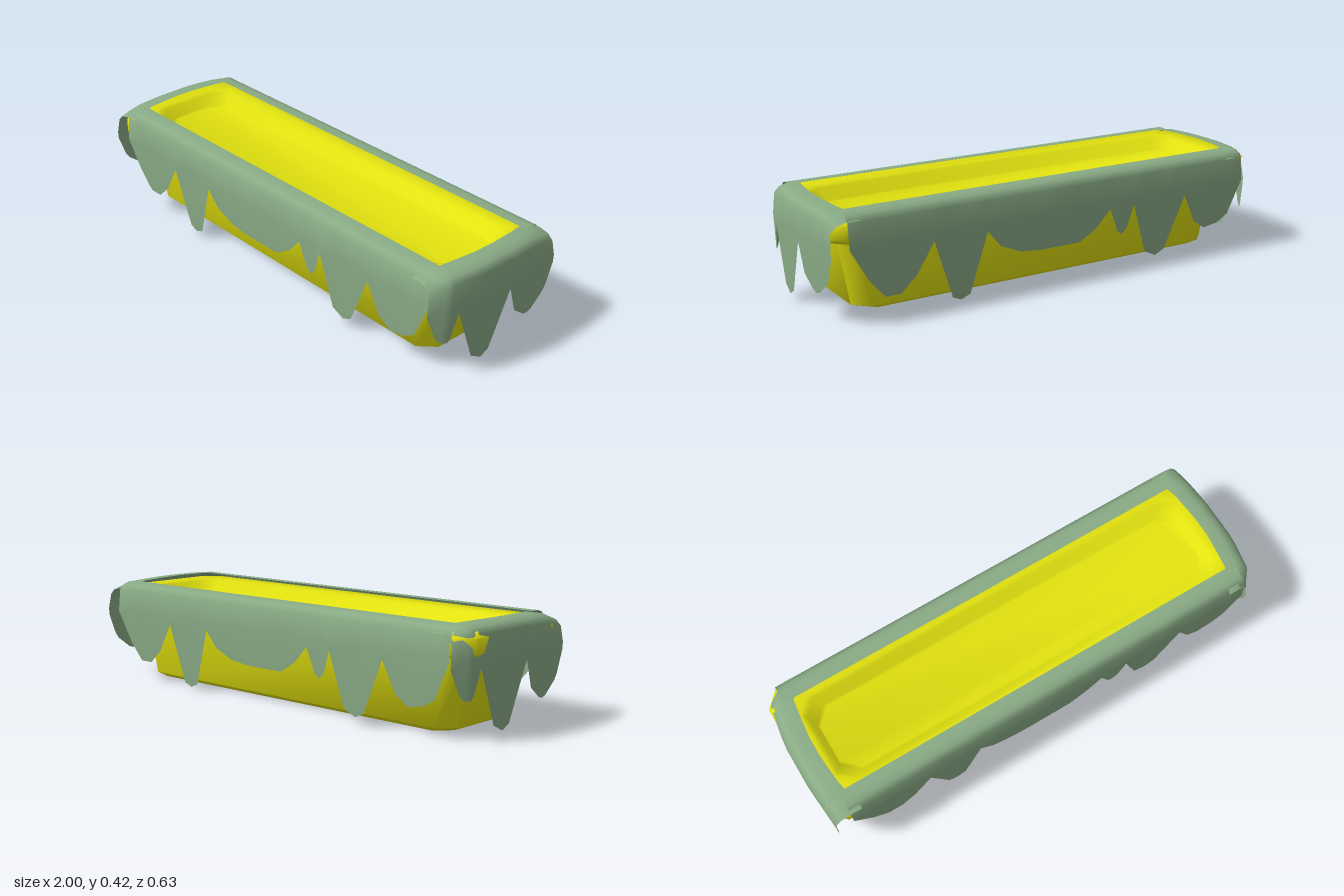
import * as THREE from 'three';
import { toCreasedNormals } from 'three/addons/utils/BufferGeometryUtils.js';

const yellow = new THREE.MeshStandardMaterial({ color: 0xe2e210 });
yellow.name = 'yellow tray';
const green = new THREE.MeshStandardMaterial({ color: 0x8aab86, side: THREE.DoubleSide });
green.name = 'green drape';

function build(pos, idx) {
  const g = new THREE.BufferGeometry();
  g.setAttribute('position', new THREE.Float32BufferAttribute(pos, 3));
  g.setIndex(idx);
  g.computeVertexNormals();
  return g;
}

// Chamfered rectangle ring, running from +x towards +z
function ring([hx, hz, c, y, cx = 0]) {
  const q = [[hx, hz - c], [hx - c, hz]];
  const pts = [...q, ...q.map(([x, z]) => [-x, z]).reverse()];
  return [...pts, ...pts.map(([x, z]) => [-x, -z])].map(([x, z]) => [x + cx, y, z]);
}

// Closed shell through the rings, capped at both ends
function loft(sections) {
  const pos = [], idx = [], n = 8;
  sections.forEach((s) => ring(s).forEach((p) => pos.push(...p)));
  const last = (sections.length - 1) * n;
  for (let j = 0; j < n; j++) {
    const k = (j + 1) % n;
    for (let i = 0; i < last; i += n) {
      idx.push(i + j, i + n + j, i + k, i + k, i + n + j, i + n + k);
    }
    if (j > 0 && j < n - 1) idx.push(0, j, k, last, last + k, last + j);
  }
  return toCreasedNormals(build(pos, idx), 1.0);
}

// Open sheet from equal-length columns of points
function sheet(columns) {
  const pos = columns.flat(2), idx = [], m = columns[0].length;
  for (let i = 0; i < columns.length - 1; i++) {
    for (let j = 0; j < m - 1; j++) {
      const a = i * m + j, b = a + m;
      idx.push(a, a + 1, b, b, a + 1, b + 1);
    }
  }
  return build(pos, idx);
}

// Linear lookup in a short [key, value] table with rising keys
function lookup(table, t) {
  for (let i = 1; i < table.length; i++) {
    const [a, va] = table[i - 1], [b, vb] = table[i];
    if (t <= b || i === table.length - 1) {
      return THREE.MathUtils.lerp(va, vb, THREE.MathUtils.clamp((t - a) / (b - a), 0, 1));
    }
  }
}

// Drip outline along the long sides: [x, y]
const longHem = [
  [-0.91, 0.29], [-0.835, 0.16], [-0.77, 0.085], [-0.705, 0.085], [-0.64, 0.145], [-0.567, 0.267],
  [-0.487, 0.027], [-0.45, 0.011], [-0.41, 0.027], [-0.337, 0.267], [-0.278, 0.198], [-0.187, 0.16],
  [-0.096, 0.15], [0.09, 0.15], [0.17, 0.198], [0.235, 0.267], [0.273, 0.17], [0.294, 0.15],
  [0.32, 0.17], [0.353, 0.267], [0.42, 0.053], [0.476, 0.027], [0.52, 0.048], [0.615, 0.267],
  [0.674, 0.145], [0.73, 0.107], [0.8, 0.118], [0.855, 0.15], [0.92, 0.29],
];
// Drip outline along the short ends: [z, y]
const endHem = [
  [-0.312, 0.268], [-0.28, 0.18], [-0.264, 0.157], [-0.2, 0.109], [-0.175, 0.102], [-0.15, 0.109],
  [-0.088, 0.155], [-0.05, 0.268], [0.041, 0.043], [0.08, 0.023], [0.13, 0.048], [0.207, 0.268],
  [0.237, 0.17], [0.25, 0.154], [0.268, 0.154], [0.284, 0.17], [0.314, 0.268],
];
// Plan outline and height of the end drape against z
const endOuter = [[-0.31, 0.983], [-0.1, 1], [0.1, 1], [0.25, 0.977], [0.314, 0.93]];
const endInner = [[-0.31, 0.86], [-0.18, 0.89], [0, 0.905], [0.2, 0.885], [0.314, 0.84]];
const endTop = [[-0.312, 0.392], [-0.27, 0.405], [-0.2, 0.416], [0, 0.421], [0.2, 0.421], [0.25, 0.416], [0.314, 0.39]];

function longDrape() {
  return sheet(longHem.map(([x, y]) => [
    [x, 0.418, 0.212], [x, 0.418, 0.25], [x, 0.41, 0.277], [x, 0.387, 0.3],
    [x, 0.3, 0.309], [x, y, 0.309 - (0.3 - y) * 0.045],
  ]));
}

function endDrape() {
  return sheet(endHem.map(([z, y]) => {
    const o = lookup(endOuter, z), i = lookup(endInner, z), t = lookup(endTop, z);
    const zt = z * 0.97;
    return [
      [i, t, zt], [i + (o - i) * 0.45, t, zt], [o - 0.028, t - 0.01, zt], [o - 0.006, t - 0.032, zt],
      [o, 0.3, z], [o - (0.3 - y) * 0.04, y, z],
    ];
  }).reverse());
}

export function createModel() {
  const model = new THREE.Group();
  model.name = 'drapedTray';
  const add = (name, geometry, material, turn = 0) => {
    const mesh = new THREE.Mesh(geometry, material);
    mesh.name = name;
    mesh.rotation.y = turn;
    model.add(mesh);
    return mesh;
  };

  // Tray: tapered body, overhanging lip, shallow recessed floor
  add('tray', loft([
    [0.805, 0.18, 0.06, 0], [0.84, 0.205, 0.06, 0.018], [0.895, 0.217, 0.06, 0.3],
    [0.97, 0.29, 0.06, 0.305, -0.007], [0.977, 0.297, 0.06, 0.32, -0.007],
    [0.977, 0.297, 0.06, 0.375, -0.007], [0.96, 0.28, 0.06, 0.397, -0.007],
    [0.89, 0.205, 0.06, 0.397], [0.87, 0.185, 0.06, 0.39], [0.85, 0.155, 0.063, 0.345], [0.842, 0.145, 0.065, 0.34],
  ]), yellow);

  // Drapes: each side is the other turned half round
  const long = longDrape(), end = endDrape();
  [['front', 'left', 0], ['back', 'right', Math.PI]].forEach(([side, tip, turn]) => {
    add(side + 'Drape', long, green, turn).position.z = -0.004;
    add(tip + 'EndDrape', end, green, turn);
  });
  return model;
}
